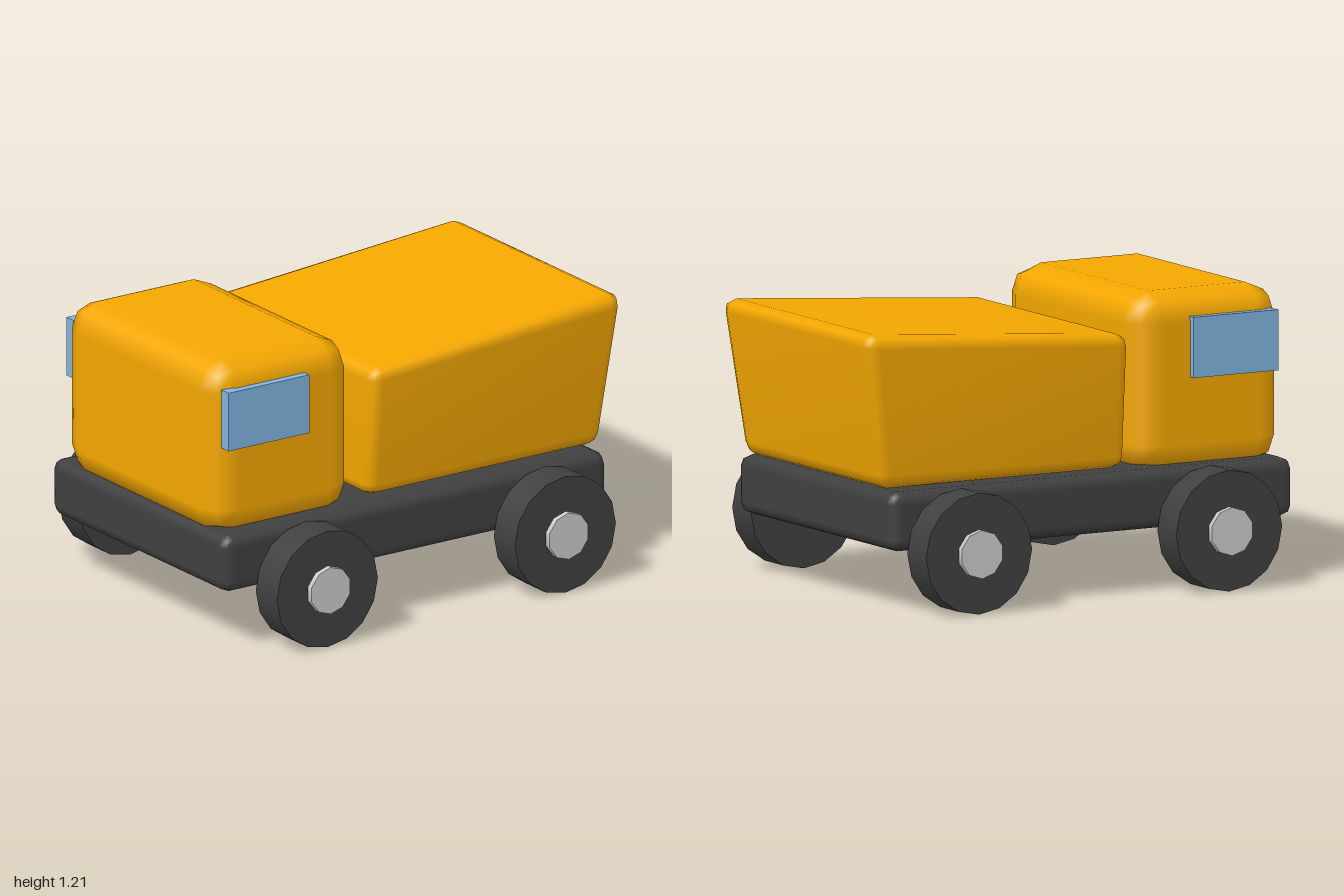
import * as THREE from 'three';
import { RoundedBoxGeometry } from 'three/addons/geometries/RoundedBoxGeometry.js';
import { mergeVertices } from 'three/addons/utils/BufferGeometryUtils.js';

const material = (color) => new THREE.MeshStandardMaterial({ color });

// Rounded box given by its lower and upper corners
function roundedBox([x0, y0, z0], [x1, y1, z1], radius) {
  return new RoundedBoxGeometry(x1 - x0, y1 - y0, z1 - z0, 1, radius)
    .translate((x0 + x1) / 2, (y0 + y1) / 2, (z0 + z1) / 2);
}

export function createModel() {
  const truck = new THREE.Group();
  truck.name = 'toyDumpTruck';
  const yellow = material(0xf5a800);
  const dark = material(0x404040);
  const silver = material(0xcccccc);
  const glass = material(0x80b4e0);

  const add = (name, geometry, mat, parent = truck) => {
    const mesh = new THREE.Mesh(geometry, mat);
    mesh.name = name;
    parent.add(mesh);
    return mesh;
  };

  add('chassis', roundedBox([-1, 0.255, -0.625], [0.9, 0.5, 0.625], 0.05), dark);
  add('cab', roundedBox([-1, 0.46, -0.55], [-0.3, 1.205, 0.55], 0.122), yellow);

  // Dump bed: rounded box flared outwards, with a raised and raked tail end
  let bed = roundedBox([-0.245, 0.505, -0.555], [0.91, 1.06, 0.555], 0.05);
  const p = bed.attributes.position;
  for (let i = 0; i < p.count; i++) {
    const t = (p.getY(i) - 0.505) / 0.555;
    const s = (p.getX(i) + 0.245) / 1.155;
    p.setXYZ(i, p.getX(i) + 0.09 * s * t, p.getY(i) + 0.095 * s * t, p.getZ(i) * (1 + 0.078 * t));
  }
  bed.deleteAttribute('normal');
  bed.deleteAttribute('uv');
  bed = mergeVertices(bed, 1e-4);
  bed.computeVertexNormals();
  add('dumpBed', bed, yellow);

  // Side windows and wheels, mirrored front to back
  const windowGeometry = new THREE.BoxGeometry(0.4, 0.25, 0.05);
  const tyreGeometry = new THREE.CylinderGeometry(0.25, 0.25, 0.15, 16).rotateX(Math.PI / 2);
  const hubGeometry = new THREE.CylinderGeometry(0.1, 0.1, 0.17, 10).rotateX(Math.PI / 2);
  for (const side of [1, -1]) {
    add('sideWindow', windowGeometry, glass).position.set(-0.75, 0.98, side * 0.55);
    for (const x of [-0.6, 0.58]) {
      const wheel = new THREE.Group();
      wheel.name = 'wheel';
      wheel.position.set(x, 0.25, side * 0.7);
      add('tyre', tyreGeometry, dark, wheel);
      add('hub', hubGeometry, silver, wheel).position.z = side * 0.015;
      truck.add(wheel);
    }
  }
  return truck;
}
